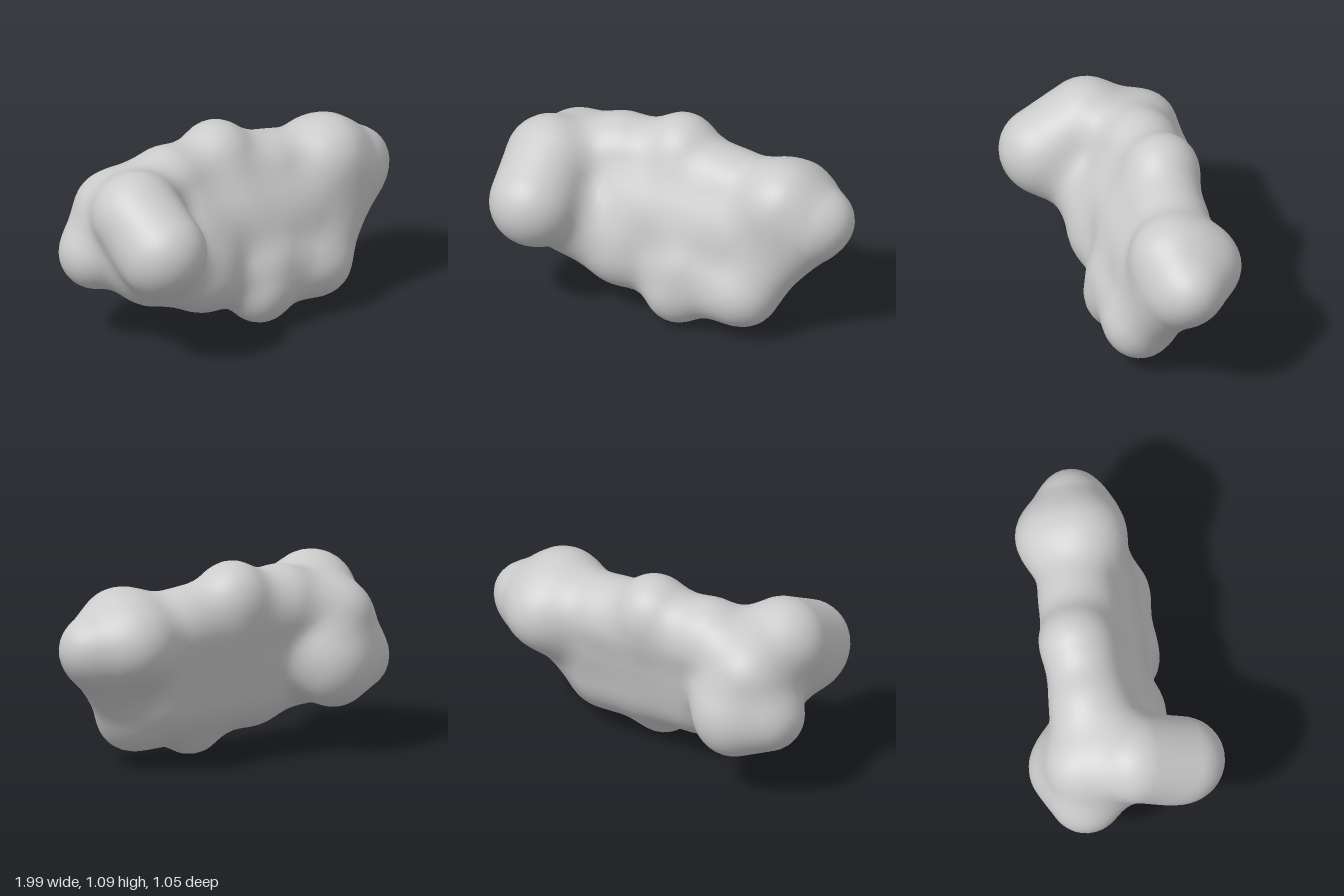
import * as THREE from 'three';

// Lumps of the rock: tapered capsules [x, y, z, radius,  x, y, z, radius]
const lumps = [
  // slab, leaning back from its foot to its crest
  [-0.04, 0.895, -0.19, 0.20, 0.06, 0.195, 0.075, 0.19],
  [0.26, 0.77, -0.14, 0.18, 0.43, 0.255, 0.07, 0.165],
  [-0.37, 0.83, -0.16, 0.20, -0.24, 0.32, 0.04, 0.18],
  [0.13, 0.36, 0.06, 0.18, 0.30, 0.28, 0.06, 0.175],
  // fillers along the slab: crest, middle and lower back
  [-0.50, 0.77, -0.17, 0.18, 0.52, 0.75, -0.15, 0.18],
  [-0.30, 0.60, -0.03, 0.17, 0.48, 0.58, -0.03, 0.17],
  [-0.34, 0.54, -0.11, 0.18, 0.48, 0.56, -0.10, 0.18],
  [-0.22, 0.36, -0.07, 0.175, 0.34, 0.35, -0.06, 0.175],
  // wedge-shaped end and the ridge under it
  [0.60, 0.785, -0.06, 0.21, 0.63, 0.71, -0.23, 0.205],
  [0.66, 0.73, -0.12, 0.21, 0.83, 0.705, -0.11, 0.167],
  [0.73, 0.62, -0.06, 0.17, 0.47, 0.26, 0.07, 0.13],
  // lobe to the front and the web behind it
  [-0.71, 0.67, 0.295, 0.228, -0.715, 0.795, 0.04, 0.245],
  [-0.70, 0.60, 0.22, 0.18, -0.66, 0.55, 0.05, 0.18],
  [-0.60, 0.54, 0.10, 0.17, -0.32, 0.42, 0.05, 0.17],
  // low lobe to the back, rising to the crest
  [-0.79, 0.50, -0.24, 0.20, -0.62, 0.455, -0.305, 0.205],
  [-0.68, 0.73, -0.25, 0.20, -0.60, 0.56, -0.28, 0.20],
  // underside joining the lobes to the slab
  [-0.58, 0.41, -0.02, 0.18, -0.36, 0.37, 0.02, 0.17],
].map(l => ({
  a: new THREE.Vector3(l[0], l[1], l[2]), ra: l[3],
  ab: new THREE.Vector3(l[4] - l[0], l[5] - l[1], l[6] - l[2]), rb: l[7],
}));

const BLEND = 0.14;
const tmp = new THREE.Vector3();

// Signed distance to all lumps, softly blended
function field(p) {
  let d = 10;
  for (const { a, ab, ra, rb } of lumps) {
    tmp.subVectors(p, a);
    const t = THREE.MathUtils.clamp(tmp.dot(ab) / ab.lengthSq(), 0, 1);
    const e = tmp.addScaledVector(ab, -t).length() - THREE.MathUtils.lerp(ra, rb, t);
    const h = Math.max(BLEND - Math.abs(d - e), 0) / BLEND;
    d = Math.min(d, e) - h * h * BLEND / 4;
  }
  return d;
}

function gradient(p) {
  const g = new THREE.Vector3(), q = new THREE.Vector3(), e = 0.02;
  for (let k = 0; k < 3; k++) {
    const hi = field(q.copy(p).setComponent(k, p.getComponent(k) + e));
    const lo = field(q.copy(p).setComponent(k, p.getComponent(k) - e));
    g.setComponent(k, (hi - lo) / (2 * e));
  }
  return g;
}

// Skin the field: one vertex per crossed cell, one quad per crossed grid edge
function skin(step) {
  const min = [-1.2, -0.2, -0.75];
  const n = [2.4, 1.5, 1.5].map(s => Math.ceil(s / step));
  const id = (i, j, k) => (i * n[1] + j) * n[2] + k;
  const at = (i, j, k) => new THREE.Vector3(min[0] + i * step, min[1] + j * step, min[2] + k * step);
  const value = new Float32Array(n[0] * n[1] * n[2]);
  const each = fn => {
    for (let i = 0; i < n[0]; i++)
      for (let j = 0; j < n[1]; j++)
        for (let k = 0; k < n[2]; k++) fn([i, j, k]);
  };
  each(c => { value[id(...c)] = field(at(...c)); });

  const positions = [], normals = [], index = [], made = new Map();
  const vertex = c => {
    const key = id(...c);
    if (!made.has(key)) {
      const p = at(c[0] + 0.5, c[1] + 0.5, c[2] + 0.5);
      for (let s = 0; s < 4; s++) {
        const g = gradient(p);
        p.addScaledVector(g, -field(p) / Math.max(g.lengthSq(), 0.3));
      }
      made.set(key, positions.length / 3);
      positions.push(...p);
      normals.push(...gradient(p).normalize());
    }
    return made.get(key);
  };
  each(c => {
    for (let d = 0; d < 3; d++) {
      const next = [...c];
      if (++next[d] >= n[d]) continue;
      const inside = value[id(...c)] < 0;
      if (inside === value[id(...next)] < 0) continue;
      const quad = [[1, 1], [0, 1], [0, 0], [1, 0]].map(([u, v]) => {
        const cell = [...c];
        cell[(d + 1) % 3] -= u;
        cell[(d + 2) % 3] -= v;
        return vertex(cell);
      });
      if (!inside) quad.reverse();
      index.push(quad[0], quad[1], quad[2], quad[0], quad[2], quad[3]);
    }
  });
  const geometry = new THREE.BufferGeometry();
  geometry.setAttribute('position', new THREE.Float32BufferAttribute(positions, 3));
  geometry.setAttribute('normal', new THREE.Float32BufferAttribute(normals, 3));
  geometry.setIndex(index);
  return geometry;
}

export function createModel() {
  const rock = new THREE.Mesh(skin(0.04), new THREE.MeshStandardMaterial({ color: 0xcccccc }));
  rock.name = 'rock';
  const group = new THREE.Group();
  group.name = 'lumpyRock';
  group.add(rock);
  return group;
}
